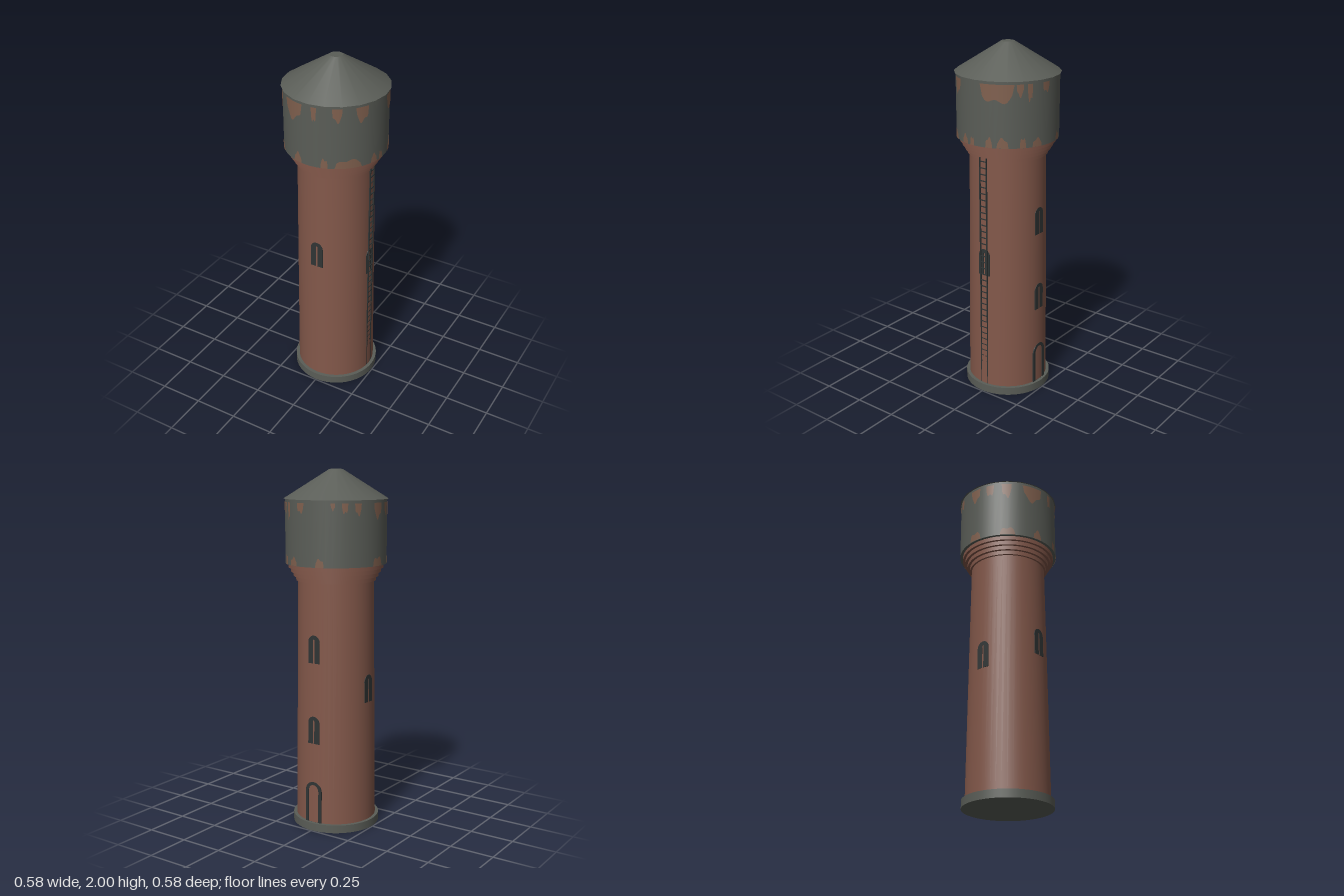
import * as THREE from 'three';

const mat = (name, color, side = THREE.FrontSide) => {
  const m = new THREE.MeshStandardMaterial({ color, side });
  m.name = name;
  return m;
};

export function createModel() {
  const brick = mat('brick', 0x83584a);
  const metal = mat('tankMetal', 0x5a5d57);
  const rust = mat('rust', 0x80604e, THREE.DoubleSide);
  const dark = mat('darkIron', 0x2f3434);
  const tower = new THREE.Group();
  tower.name = 'waterTower';

  const add = (name, geometry, material, parent = tower) => {
    const mesh = new THREE.Mesh(geometry, material);
    mesh.name = name;
    parent.add(mesh);
    return mesh;
  };
  const drum = (name, rTop, rBottom, y0, y1, material, sides = 48) => {
    const g = new THREE.CylinderGeometry(rTop, rBottom, y1 - y0, sides);
    add(name, g.translate(0, (y0 + y1) / 2, 0), material);
  };

  // Base, tapering shaft and stepped corbel
  const SHAFT_LOW = 0.226, SHAFT_HIGH = 0.21, Y_LOW = 0.045, Y_HIGH = 1.41;
  drum('base', 0.245, 0.245, 0, 0.045, metal);
  drum('shaft', SHAFT_HIGH, SHAFT_LOW, Y_LOW, Y_HIGH, brick);
  [0.221, 0.235, 0.249, 0.263].forEach((r, i) => {
    const y = 1.397 + i * 0.0235;
    drum('corbelRing' + (i + 1), r, r, y, y + 0.0235, brick);
  });

  // Tank and roof
  const TANK_R = 0.279;
  drum('tank', TANK_R, TANK_R, 1.49, 1.845, metal);
  drum('roof', 0.036, 0.288, 1.842, 2, metal, 20);

  // Arched openings, set against the sloping wall
  const shaftRadius = (y) =>
    SHAFT_LOW + ((SHAFT_HIGH - SHAFT_LOW) * (y - Y_LOW)) / (Y_HIGH - Y_LOW);
  const slope = (SHAFT_LOW - SHAFT_HIGH) / (Y_HIGH - Y_LOW);
  const arch = (path, w, y0, spring) => {
    path.moveTo(-w / 2, y0);
    path.lineTo(w / 2, y0);
    path.lineTo(w / 2, spring);
    path.absarc(0, spring, w / 2, 0, Math.PI, false);
    path.lineTo(-w / 2, y0);
    return path;
  };
  const opening = (name, degrees, yMid, w, h, gap, rim) => {
    const shape = arch(new THREE.Shape(), w, -h / 2, h / 2 - w / 2);
    shape.holes.push(arch(new THREE.Path(), gap, -h / 2 + 0.0005, h / 2 - rim - gap / 2));
    const depth = 0.009;
    const g = new THREE.ExtrudeGeometry(shape, { depth, bevelEnabled: false, curveSegments: 8 });
    g.translate(0, 0, -depth + 0.0008).rotateX(-slope);
    g.translate(0, yMid, shaftRadius(yMid));
    add(name, g.rotateY(THREE.MathUtils.degToRad(degrees)), dark);
  };
  [[0, 0.895], [90, 0.805], [180, 1.035], [180, 0.58], [270, 0.805]].forEach(([a, y], i) =>
    opening('window' + (i + 1), a, y, 0.073, 0.155, 0.009, 0.022));
  opening('doorFrame', 180, 0.162, 0.104, 0.235, 0.066, 0.018);

  // Ladder on the +x side
  const ladder = new THREE.Group();
  ladder.name = 'ladder';
  tower.add(ladder);
  for (const z of [-0.022, 0.022]) {
    const rail = new THREE.BoxGeometry(0.007, 1.38, 0.006);
    add('ladderRail', rail.translate(0.2215, 0.72, z), dark, ladder);
  }
  for (let y = 0.075; y < 1.4; y += 0.0365) {
    const rung = new THREE.BoxGeometry(0.005, 0.005, 0.044);
    add('ladderRung', rung.translate(0.221, y, 0), dark, ladder);
  }

  // Rust stains: thin curved patches with one straight and one ragged edge
  const stain = (name, degrees, width, yEdge, height, seed) => {
    const n = 14, pos = [], nor = [], idx = [];
    for (let i = 0; i <= n; i++) {
      const t = (i / n) * 2 - 1;
      const a = THREE.MathUtils.degToRad(degrees + (t * width) / 2);
      const ragged = 0.86 + 0.14 * Math.sin(seed * 2.3 + t * 5);
      const tip = yEdge + height * Math.pow(1 - t * t, 0.4) * ragged;
      const lo = Math.min(yEdge, tip), hi = Math.max(yEdge, tip);
      for (const y of [lo, hi]) {
        pos.push(Math.sin(a) * (TANK_R + 0.0015), y, Math.cos(a) * (TANK_R + 0.0015));
        nor.push(Math.sin(a), 0, Math.cos(a));
      }
      if (i < n) {
        const k = i * 2;
        idx.push(k, k + 2, k + 1, k + 1, k + 2, k + 3);
      }
    }
    const g = new THREE.BufferGeometry();
    g.setAttribute('position', new THREE.Float32BufferAttribute(pos, 3));
    g.setAttribute('normal', new THREE.Float32BufferAttribute(nor, 3));
    g.setIndex(idx);
    add(name, g, rust);
  };
  // [angle, angular width, length]
  [[-53, 12, 0.1], [-21, 26, 0.11], [6, 6, 0.09], [31, 11, 0.08], [58, 15, 0.09],
    [115, 38, 0.11], [140, 8, 0.07], [151, 6, 0.1], [172, 10, 0.06], [211, 5, 0.04],
    [224, 7, 0.06], [239, 8, 0.07], [267, 14, 0.09], [287, 10, 0.08]]
    .forEach(([a, w, h], i) => stain('upperRust' + (i + 1), a, w, 1.826, -h, i));
  [[-52, 18, 0.05], [-15, 11, 0.06], [17, 8, 0.06], [43, 30, 0.055], [74, 9, 0.055],
    [85, 6, 0.05], [106, 8, 0.06], [121, 13, 0.06], [143, 7, 0.06], [160, 12, 0.05],
    [196, 10, 0.05], [267, 16, 0.055]]
    .forEach(([a, w, h], i) => stain('lowerRust' + (i + 1), a, w, 1.491, h, i + 5));

  return tower;
}
